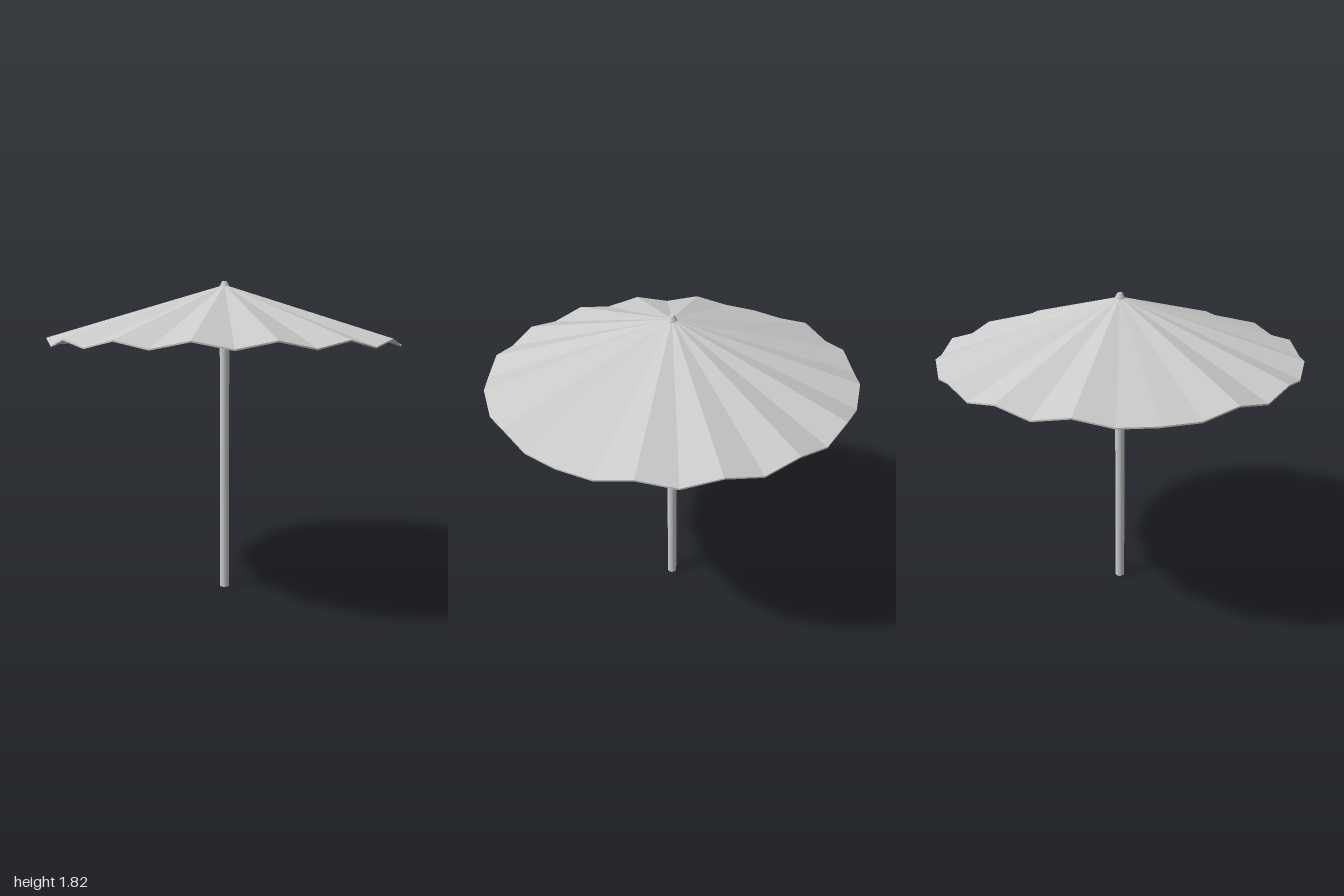
import * as THREE from 'three';

const SEGMENTS = 32;
const APEX = 1.8, RIM_HIGH = 1.505, RIM_LOW = 1.467, THICKNESS = 0.008;

// Rim point i: ridges and valleys alternate, except for a flat panel at each side
function rimPoint(i, drop) {
  const k = i % SEGMENTS;
  const angle = (k / SEGMENTS) * Math.PI * 2;
  const sidePanel = k % 16 === 8;
  const y = k % 2 === 1 || sidePanel ? RIM_LOW : RIM_HIGH;
  return [Math.sin(angle), y - drop, Math.cos(angle)];
}

// Thin pleated cone: top skin, underside and rim edge
function canopyGeometry() {
  const top = [0, APEX, 0], under = [0, APEX - THICKNESS, 0];
  const positions = [];
  const triangle = (a, b, c) => positions.push(...a, ...b, ...c);
  for (let i = 0; i < SEGMENTS; i++) {
    const a = rimPoint(i, 0), b = rimPoint(i + 1, 0);
    const c = rimPoint(i, THICKNESS), d = rimPoint(i + 1, THICKNESS);
    triangle(top, a, b);
    triangle(under, d, c);
    triangle(a, c, d);
    triangle(a, d, b);
  }
  const geometry = new THREE.BufferGeometry();
  geometry.setAttribute('position', new THREE.Float32BufferAttribute(positions, 3));
  geometry.computeVertexNormals();
  return geometry;
}

export function createModel() {
  const group = new THREE.Group();
  const smooth = new THREE.MeshStandardMaterial({ color: 0xcccccc });
  const faceted = new THREE.MeshStandardMaterial({ color: 0xcccccc, flatShading: true });
  const add = (name, geometry, material, y = 0) => {
    const mesh = new THREE.Mesh(geometry, material);
    mesh.name = name;
    mesh.position.y = y;
    group.add(mesh);
  };

  add('canopy', canopyGeometry(), faceted);

  // Straight round pole
  const poleHeight = 1.795;
  add('pole', new THREE.CylinderGeometry(0.028, 0.028, poleHeight, 16), smooth, poleHeight / 2);

  // Small tapered cap at the peak
  add('topCap', new THREE.CylinderGeometry(0.014, 0.029, 0.028, 16), smooth, 1.806);

  return group;
}
